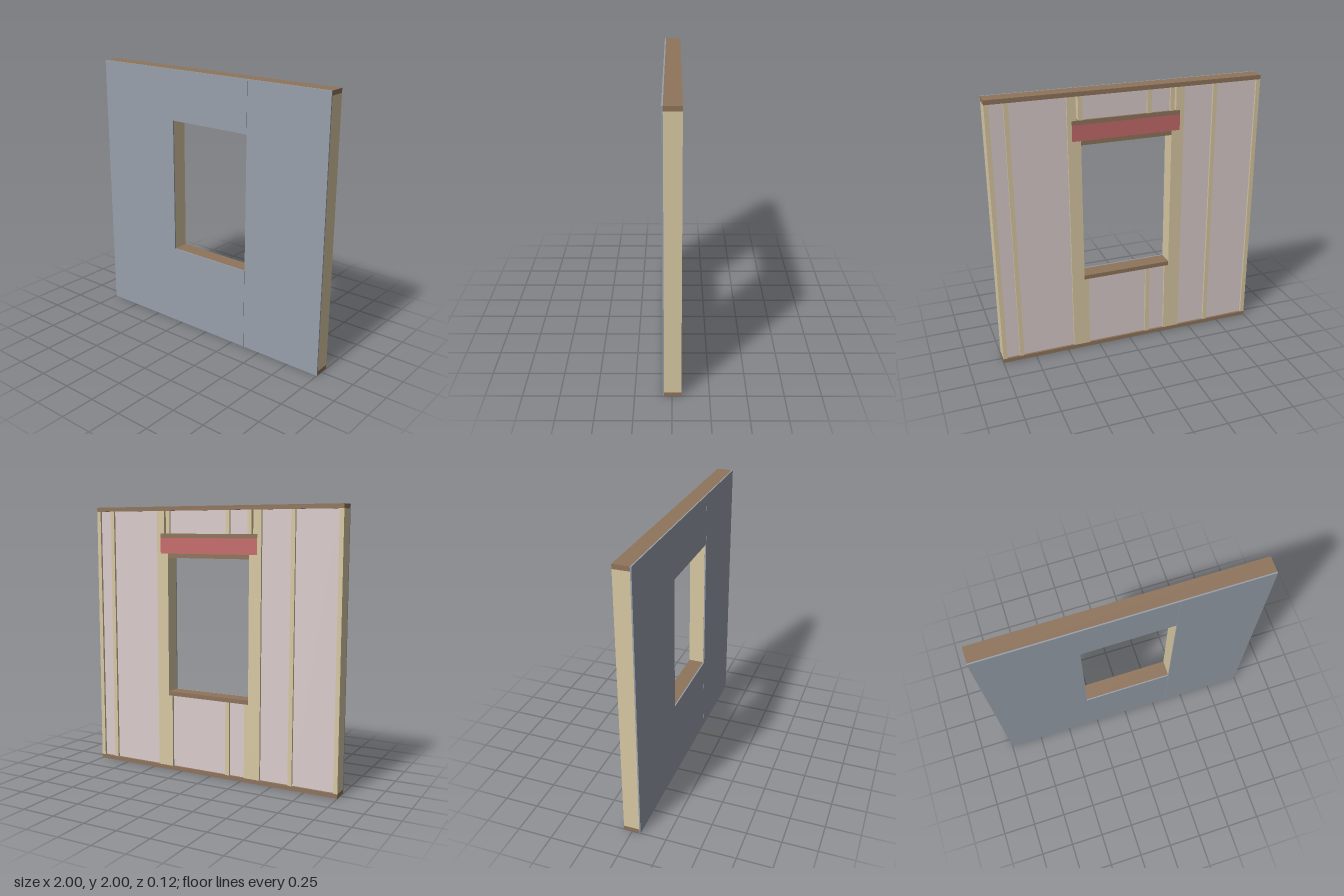
import * as THREE from 'three';

const T = 0.03125;                    // lumber thickness
const BACK = -0.062, FACE = 0.0525, FRONT = 0.062;
const RO = { l: -0.3125, r: 0.357, b: 0.615, t: 1.625 };   // window rough opening
const HEAD = { b: RO.t + T, t: RO.t + T + 0.1146 };        // header beam

const mat = (color) => new THREE.MeshStandardMaterial({ color, flatShading: true });

export function createModel() {
  const wall = new THREE.Group();
  wall.name = 'framedWall';
  const stud = mat(0xd8c9a4), plate = mat(0x8f745b), beam = mat(0xc66b6b);
  const wool = mat(0xdbcccc), sheath = mat(0x98a0ac);

  // box given by its limits
  const box = (name, m, x0, x1, y0, y1, z0 = BACK, z1 = FACE) => {
    const mesh = new THREE.Mesh(new THREE.BoxGeometry(x1 - x0, y1 - y0, z1 - z0), m);
    mesh.position.set((x0 + x1) / 2, (y0 + y1) / 2, (z0 + z1) / 2);
    mesh.name = name;
    wall.add(mesh);
  };

  // horizontal plates, sill and header
  box('bottomPlate', plate, -1, 1, 0, T);
  box('topPlate', plate, -1, 1, 2 - T, 2);
  box('windowSill', plate, RO.l, RO.r, RO.b - T, RO.b);
  box('headerBottomPlate', plate, RO.l, RO.r, RO.t, HEAD.b);
  box('header', beam, RO.l - 2 * T, RO.r + 2 * T, HEAD.b, HEAD.t);
  box('headerTopPlate', plate, RO.l - 2 * T, RO.r + 2 * T, HEAD.t, HEAD.t + T);

  // row of uprights (by left edge) with insulation filling each wide gap
  const bay = (name, xs, y0, y1, from, to) => {
    let edge = from;
    for (const x of [...xs, to]) {
      if (x - edge > 0.02) box('insulation', wool, edge, x, y0, y1, BACK + 0.016, FACE);
      if (x !== to) box(name, stud, x, x + T, y0, y1);
      edge = x + T;
    }
  };
  const kingL = RO.l - 3 * T, kingR = RO.r + 3 * T;
  bay('stud', [-1, -0.643 - T / 2, kingL], T, 2 - T, -1, kingL + T);
  bay('stud', [kingR - T, 0.857 - T / 2, 1 - T], T, 2 - T, kingR - T, 1);
  bay('crippleBelowSill', [RO.l, -0.143 - T / 2, RO.r - T], T, RO.b - T, RO.l, RO.r);
  bay('crippleAboveHeader',
    [RO.l - 2 * T, -0.331, -0.143 - T / 2, 0.357 - T / 2, RO.r + T],
    HEAD.t + T, 2 - T, RO.l - 2 * T, RO.r + 2 * T);

  // doubled jack studs carrying the header
  for (const x of [RO.l - 2 * T, RO.l - T, RO.r, RO.r + T])
    box('jackStud', stud, x, x + T, T, HEAD.b);

  // front sheathing: a notched sheet and a plain one with a fine seam between
  const outline = [[-1, 0], [RO.r - 0.001, 0], [RO.r - 0.001, RO.b], [RO.l, RO.b],
    [RO.l, RO.t], [RO.r - 0.001, RO.t], [RO.r - 0.001, 2], [-1, 2]];
  const sheet = new THREE.Mesh(
    new THREE.ExtrudeGeometry(
      new THREE.Shape(outline.map(([x, y]) => new THREE.Vector2(x, y))),
      { depth: FRONT - FACE, bevelEnabled: false }),
    sheath);
  sheet.position.z = FACE;
  sheet.name = 'notchedSheathing';
  wall.add(sheet);
  box('plainSheathing', sheath, RO.r + 0.001, 1, 0, 2, FACE, FRONT);

  return wall;
}
